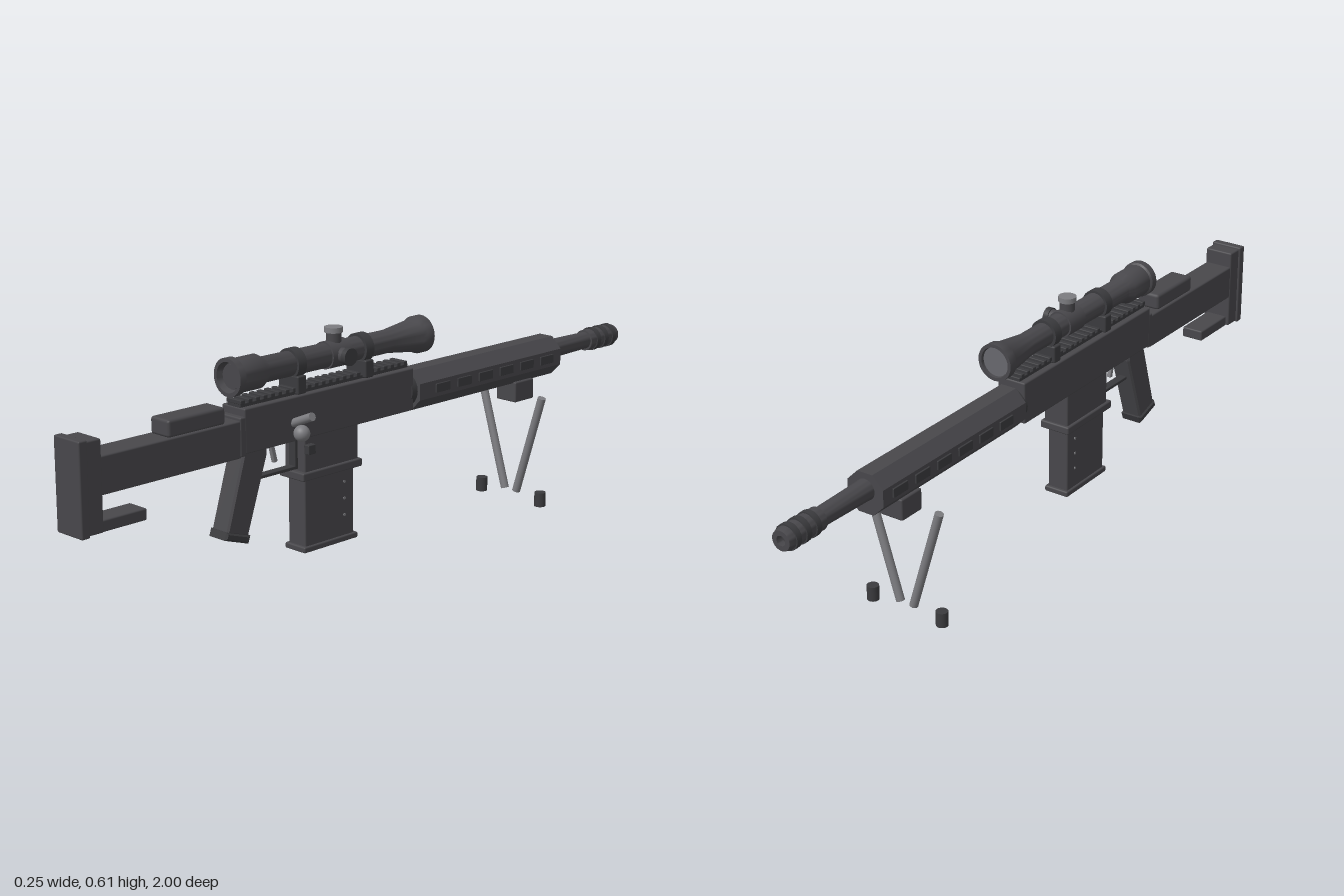
import * as THREE from 'three';
import { toCreasedNormals } from 'three/addons/utils/BufferGeometryUtils.js';
import { RoundedBoxGeometry } from 'three/addons/geometries/RoundedBoxGeometry.js';

export function createModel() {
  const root = new THREE.Group();
  const mat = (name, color, extra = {}) =>
    Object.assign(new THREE.MeshStandardMaterial({ color, ...extra }), { name });
  const body = mat('body grey', 0x48474b);
  const dark = mat('dark grey', 0x3b3b3e);
  const metal = mat('bare metal', 0x7c7c80);
  const glass = mat('lens grey', 0x68686d);

  const add = (name, geo, m) => {
    const mesh = new THREE.Mesh(geo, m);
    mesh.name = name;
    root.add(mesh);
    return mesh;
  };
  // Box from its limits, half width w about x = 0
  const box = (name, w, y0, y1, z0, z1, m = body, r = 0.004) => {
    const mesh = add(name, new RoundedBoxGeometry(2 * w, y1 - y0, z1 - z0, 1, r), m);
    mesh.position.set(0, (y0 + y1) / 2, (z0 + z1) / 2);
    return mesh;
  };
  // Cylinder between two points
  const rod = (name, a, b, r, m = body, sides = 20) => {
    const p = new THREE.Vector3(...a), q = new THREE.Vector3(...b);
    const mesh = add(name, new THREE.CylinderGeometry(r, r, p.distanceTo(q), sides), m);
    mesh.position.copy(p).add(q).multiplyScalar(0.5);
    mesh.quaternion.setFromUnitVectors(new THREE.Vector3(0, 1, 0), q.sub(p).normalize());
    return mesh;
  };
  // Turned part along z; profile is [z, radius], running towards -z
  const turned = (name, y, profile, m = body) => {
    const pts = profile.map(([z, r]) => new THREE.Vector2(r, -z));
    const geo = toCreasedNormals(new THREE.LatheGeometry(pts, 28), 0.6);
    geo.rotateX(-Math.PI / 2);
    const mesh = add(name, geo, m);
    mesh.position.y = y;
    return mesh;
  };
  // Side outline in (z, y), extruded across x
  const plate = (name, w, outline, m = body) => {
    const shape = new THREE.Shape(outline.map(([z, y]) => new THREE.Vector2(-z, y)));
    const b = 0.005;
    const geo = new THREE.ExtrudeGeometry(shape, {
      depth: 2 * (w - b), bevelThickness: b, bevelSize: b, bevelOffset: -b, bevelSegments: 1 });
    geo.translate(0, 0, b - w);
    geo.rotateY(Math.PI / 2);
    return add(name, geo, m);
  };

  // Stock
  box('buttPad', 0.047, 0.25, 0.485, 0.975, 1.0);
  box('buttPlate', 0.042, 0.253, 0.48, 0.932, 0.978);
  box('stock', 0.04, 0.342, 0.437, 0.5, 0.94);
  box('cheekRest', 0.034, 0.435, 0.48, 0.545, 0.725, body, 0.008);
  box('stockHook', 0.032, 0.25, 0.28, 0.795, 0.94);
  box('stockCollar', 0.042, 0.345, 0.445, 0.485, 0.505);

  // Receiver and sight rail
  box('receiver', 0.042, 0.35, 0.465, -0.108, 0.49);
  box('rail', 0.024, 0.46, 0.474, -0.105, 0.488, dark, 0.002);
  for (let i = 0; i < 24; i++) {
    const z = -0.1 + i * 0.025;
    box('railTooth', 0.027, 0.472, 0.483, z, z + 0.014, dark, 0.002);
  }
  rod('barrelNut', [0, 0.4, -0.1], [0, 0.4, -0.13], 0.046, dark);

  // Eight-sided handguard with raised side panels
  const apothem = 0.054;
  const guard = new THREE.CylinderGeometry(apothem / Math.cos(Math.PI / 8), apothem / Math.cos(Math.PI / 8), 0.58, 8);
  guard.rotateY(Math.PI / 8);
  guard.rotateX(Math.PI / 2);
  const guardMesh = add('handguard', toCreasedNormals(guard, 0.3), body);
  guardMesh.position.set(0, 0.398, -0.41);
  for (const s of [-1, 1]) {
    for (let i = 0; i < 6; i++) {
      const slot = box('handguardPanel', 0.003, 0.387, 0.411, -0.665 + i * 0.086, -0.61 + i * 0.086, dark, 0.001);
      slot.position.x = s * 0.0555;
    }
  }

  // Barrel and muzzle brake
  turned('barrel', 0.408, [[-0.69, 0.029], [-0.715, 0.027], [-0.88, 0.024]]);
  turned('muzzleBrake', 0.408, [
    [-0.872, 0], [-0.872, 0.03], [-0.985, 0.03], [-1, 0.026], [-1, 0.013], [-0.97, 0.013], [-0.97, 0]]);
  for (let i = 0; i < 3; i++) {
    const z = -0.895 - i * 0.035;
    rod('brakeRing', [0, 0.408, z], [0, 0.408, z - 0.016], 0.0335, dark);
  }

  // Grip, trigger and guard
  plate('grip', 0.03, [[0.482, 0.355], [0.405, 0.355], [0.405, 0.33], [0.472, 0.132], [0.543, 0.155]]);
  plate('gripCap', 0.033, [[0.545, 0.16], [0.466, 0.134], [0.473, 0.114], [0.552, 0.14]], dark);
  box('triggerGuard', 0.012, 0.265, 0.274, 0.28, 0.425, dark, 0.002);
  box('triggerGuardFront', 0.012, 0.268, 0.352, 0.285, 0.295, dark, 0.002);
  const trigger = box('trigger', 0.006, 0.295, 0.355, 0.356, 0.368, metal, 0.002);
  trigger.rotation.x = 0.25;

  // Magazine
  box('magazineWell', 0.037, 0.25, 0.355, 0.095, 0.285);
  box('magazineLip', 0.045, 0.238, 0.26, 0.087, 0.298);
  box('magazine', 0.031, 0.055, 0.245, 0.105, 0.28);
  box('magazineBase', 0.037, 0.044, 0.06, 0.096, 0.288);
  for (const y of [0.115, 0.16, 0.205]) {
    rod('magazineRivet', [-0.033, y, 0.14], [0.033, y, 0.14], 0.004, metal, 10);
  }
  const release = box('magazineRelease', 0.009, 0.31, 0.335, 0.265, 0.29, dark, 0.002);
  release.position.x = 0.048;

  // Bolt handle
  rod('boltHandle', [0.038, 0.398, 0.325], [0.107, 0.427, 0.325], 0.011, metal);
  const knob = add('boltKnob', new THREE.SphereGeometry(0.021, 24, 16), metal);
  knob.position.set(0.095, 0.387, 0.35);

  // Telescopic sight
  const sy = 0.54;
  turned('scopeTube', sy, [
    [0.49, 0], [0.49, 0.034], [0.508, 0.039], [0.508, 0.049], [0.488, 0.049], [0.484, 0.044],
    [0.415, 0.044], [0.395, 0.033], [-0.045, 0.031], [-0.145, 0.044], [-0.155, 0.05],
    [-0.18, 0.05], [-0.18, 0.041], [-0.168, 0.04], [-0.168, 0]]);
  rod('frontLens', [0, sy, -0.166], [0, sy, -0.173], 0.039, glass, 28);
  rod('rearLens', [0, sy, 0.488], [0, sy, 0.495], 0.031, body, 28);
  for (const z of [0.29, 0.05]) {
    rod('scopeRing', [0, sy, z - 0.014], [0, sy, z + 0.014], 0.039, dark, 28);
    box('scopeMount', 0.036, 0.465, 0.512, z - 0.015, z + 0.015, dark);
  }
  rod('turretHub', [0, sy, 0.11], [0, sy, 0.18], 0.036, body, 28);
  rod('topTurret', [0, sy, 0.145], [0, 0.598, 0.145], 0.02);
  rod('topTurretCap', [0, 0.596, 0.145], [0, 0.61, 0.145], 0.024, metal);
  rod('sideTurret', [0, sy, 0.145], [0.05, sy, 0.145], 0.02);
  rod('sideTurretCap', [0.048, sy, 0.145], [0.063, sy, 0.145], 0.023, dark);

  // Bipod
  box('bipodMount', 0.035, 0.29, 0.348, -0.608, -0.53);
  for (const s of [-1, 1]) {
    rod('bipodLeg', [s * 0.108, 0.312, -0.557], [s * 0.021, 0.026, -0.557], 0.0115, metal);
    rod('bipodFoot', [s * 0.109, 0, -0.557], [s * 0.109, 0.04, -0.557], 0.016, dark);
  }
  return root;
}
